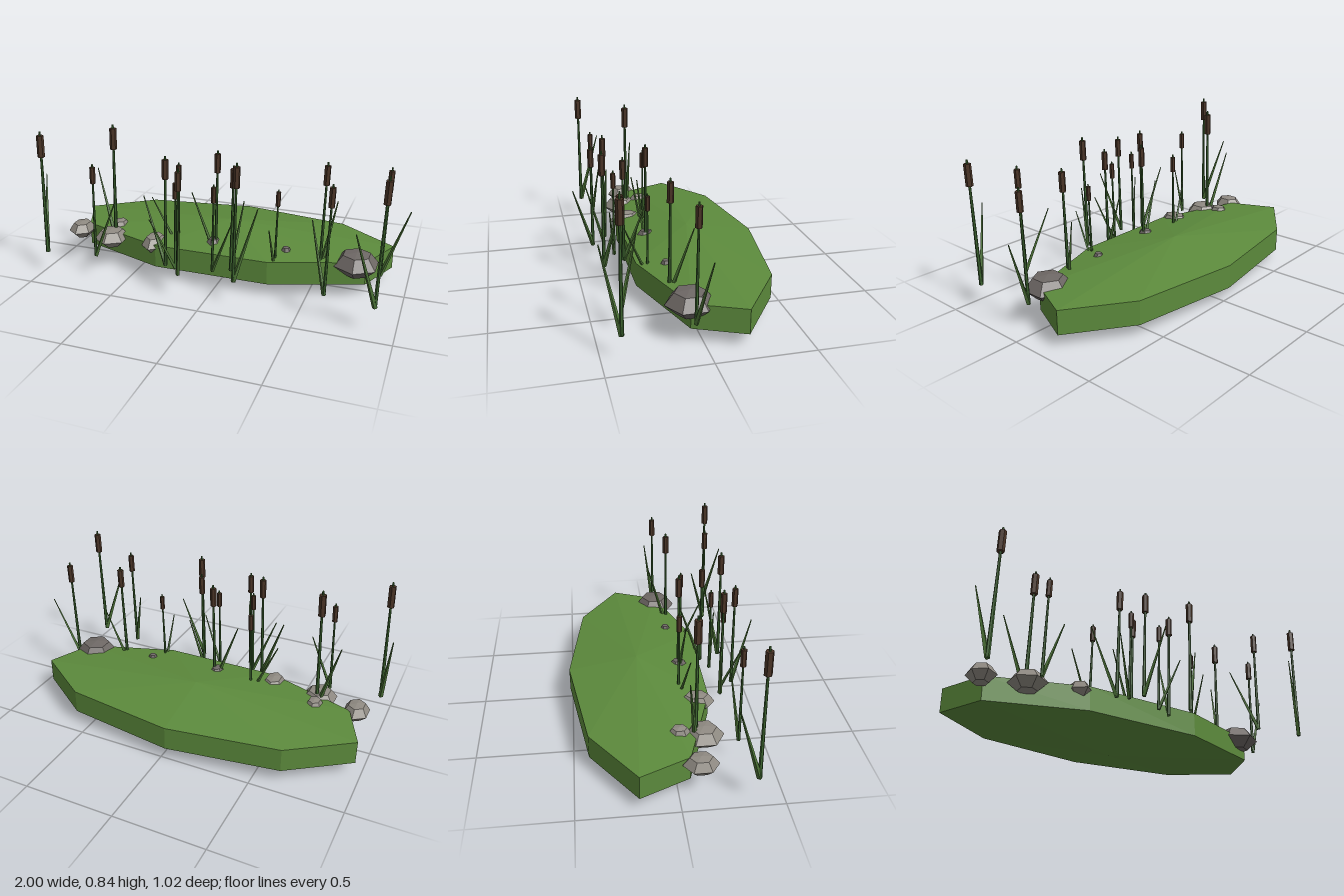
import * as THREE from 'three';

const mat = (color, side = THREE.FrontSide) =>
  new THREE.MeshStandardMaterial({ color, flatShading: true, side });
const grass = mat(0x5c8a3c), stemGreen = mat(0x3d6530), leafGreen = mat(0x4a7035, THREE.DoubleSide);
const brown = mat(0x4a3426), paleStone = mat(0x8f8a82), darkStone = mat(0x6e6865);

function add(parent, name, geometry, material) {
  const mesh = new THREE.Mesh(geometry, material);
  mesh.name = name;
  parent.add(mesh);
  return mesh;
}

// Tapered rod between two points
function rod(parent, name, from, to, r0, r1, sides, material) {
  const dir = to.clone().sub(from);
  const mesh = add(parent, name, new THREE.CylinderGeometry(r1, r0, dir.length(), sides), material);
  mesh.position.copy(from).add(to).multiplyScalar(0.5);
  mesh.quaternion.setFromUnitVectors(new THREE.Vector3(0, 1, 0), dir.normalize());
  return mesh;
}

// Faceted solid from a [radius, y] profile
const faceted = (profile, sides, start = 0) =>
  new THREE.LatheGeometry(profile.map(p => new THREE.Vector2(...p)), sides, start);

// Reeds: head x, head z, total height top y, leaf tip x, leaf tip z
const REEDS = [
  [-0.935, 0.37, 0.84, -1.0, 0.245], [-0.655, 0.33, 0.675, -0.55, 0.3],
  [-0.635, 0.113, 0.84, -0.775, 0.06], [-0.26, 0.078, 0.65, -0.41, 0.12],
  [-0.235, 0.313, 0.76, -0.385, 0.275], [-0.175, 0.328, 0.64, -0.295, 0.41],
  [-0.13, 0.395, 0.73, -0.085, 0.505], [-0.02, 0.108, 0.752, -0.165, 0.13],
  [0.025, 0.296, 0.63, 0.13, 0.335], [0.12, 0.258, 0.73, 0.135, 0.13],
  [0.175, 0.375, 0.787, 0.262, 0.3], [0.335, 0.17, 0.597, 0.32, 0.29],
  [0.572, 0.107, 0.75, 0.615, 0.0], [0.65, 0.362, 0.73, 0.537, 0.265],
  [0.886, 0.054, 0.74, 0.995, 0.012], [0.913, 0.405, 0.812, 0.79, 0.485],
];
const REED_BASE = 0.135;

function makeReed([x, z, top, leafX, leafZ]) {
  const reed = new THREE.Group();
  reed.name = 'reed';
  const h = top - REED_BASE;
  const base = new THREE.Vector3(x - 0.03 * h, REED_BASE, z);
  const tip = new THREE.Vector3(x, top, z);
  const at = t => base.clone().lerp(tip, t);
  rod(reed, 'stem', base, tip, 0.016 * h, 0.008 * h, 6, stemGreen);
  rod(reed, 'seedHead', at(0.8), at(0.97), 0.028 * h, 0.028 * h, 6, brown);
  // Single leaning blade
  const leafTip = new THREE.Vector3(leafX, REED_BASE + 0.6 * h, leafZ);
  rod(reed, 'leaf', base, leafTip, 0.02 * h, 0.003, 4, leafGreen);
  return reed;
}

// Rocks: x, z, radius x, radius z, bottom y, top y, material
const ROCKS = [
  [-0.88, 0.105, 0.075, 0.09, 0.13, 0.228, paleStone],
  [-0.66, 0.152, 0.1, 0.105, 0.122, 0.23, paleStone],
  [-0.385, 0.16, 0.07, 0.097, 0.13, 0.235, paleStone],
  [-0.665, 0.03, 0.052, 0.062, 0.15, 0.24, paleStone],
  [0.74, 0.052, 0.126, 0.126, 0.114, 0.25, darkStone],
  [-0.052, 0.105, 0.04, 0.05, 0.18, 0.243, darkStone],
  [0.36, 0.08, 0.03, 0.03, 0.18, 0.238, darkStone],
];
const ROCK_PROFILE = [[0, 0], [0.5, 0.07], [1, 0.48], [0.62, 0.92], [0, 1]];

export function createModel() {
  const model = new THREE.Group();
  model.name = 'reedBank';

  // Nine-sided grassy bank, peaked above and below
  const bank = add(model, 'bank',
    faceted([[0, 0], [1, 0.07], [1, 0.2], [0, 0.265]], 9, Math.PI), grass);
  bank.scale.set(0.95, 1, 0.38);
  bank.position.set(-0.03, 0, -0.13);

  for (const [x, z, rx, rz, y0, y1, material] of ROCKS) {
    const rock = add(model, 'rock', faceted(ROCK_PROFILE, 6), material);
    rock.scale.set(rx, y1 - y0, rz);
    rock.position.set(x, y0, z);
  }

  for (const spec of REEDS) model.add(makeReed(spec));
  return model;
}
